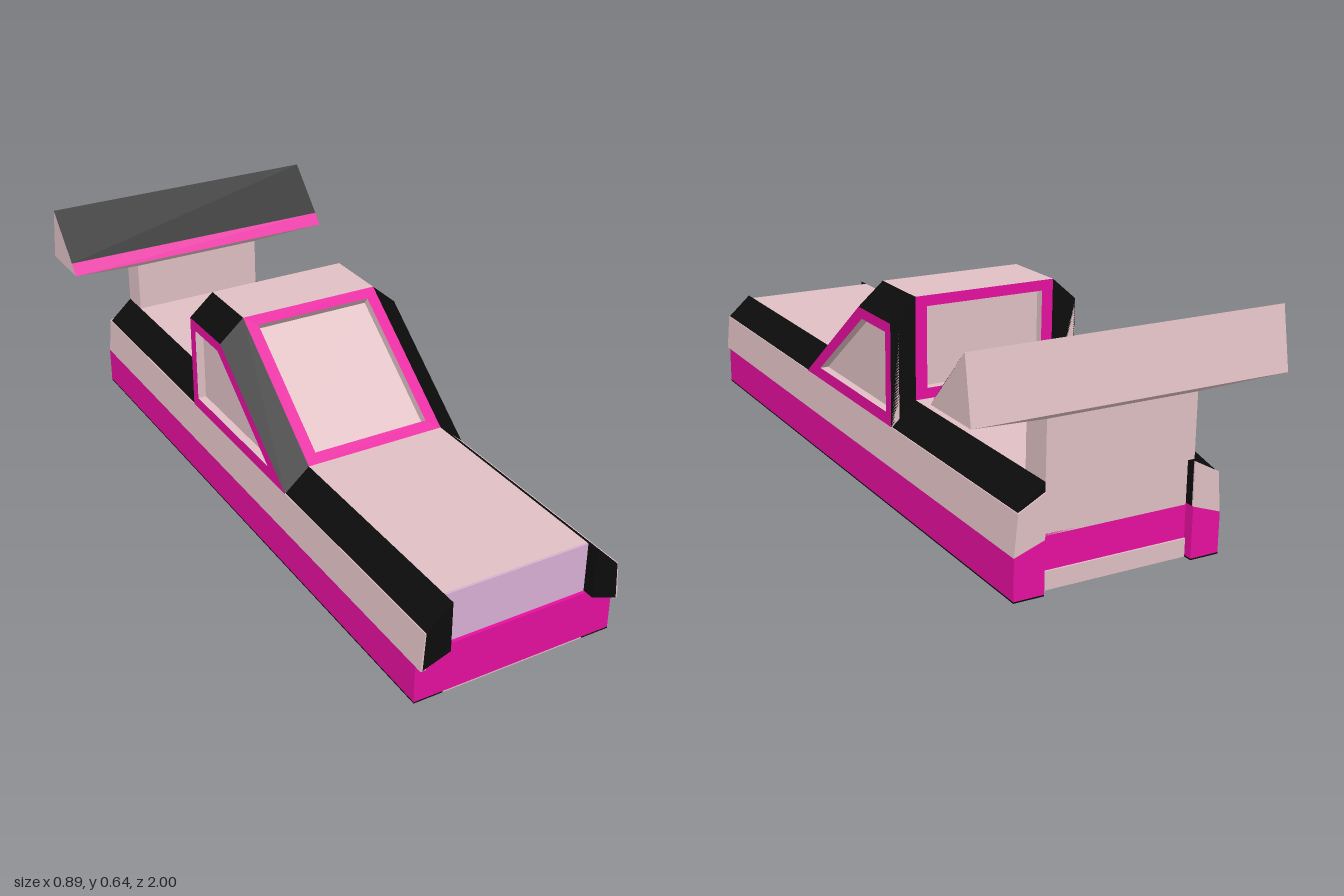
import * as THREE from 'three';

const mat = (color) => new THREE.MeshStandardMaterial({ color, flatShading: true, side: THREE.DoubleSide });

export function createModel() {
  const model = new THREE.Group();
  const pale = mat(0xe0c0c4), pink = mat(0xe6109f), black = mat(0x0c0c0c), lilac = mat(0xdab0d6);

  const add = (name, geometry, material) => {
    const mesh = new THREE.Mesh(geometry, material);
    mesh.name = name;
    model.add(mesh);
    return mesh;
  };
  const shapeOf = (pts) => new THREE.Shape(pts.map((p) => new THREE.Vector2(...p)));
  // box given by its limits
  const box = (name, material, x0, x1, y0, y1, z0, z1) =>
    add(name, new THREE.BoxGeometry(x1 - x0, y1 - y0, z1 - z0), material)
      .position.set((x0 + x1) / 2, (y0 + y1) / 2, (z0 + z1) / 2);
  // cross-section in x,y run along z
  const prism = (name, material, pts, z0, z1) => {
    const g = new THREE.ExtrudeGeometry(shapeOf(pts), { depth: z1 - z0, bevelEnabled: false });
    add(name, g.translate(0, 0, z0), material);
  };
  // flat convex polygon in space
  const panel = (name, material, pts) => {
    const tris = [];
    for (let i = 1; i < pts.length - 1; i++) tris.push(...pts[0], ...pts[i], ...pts[i + 1]);
    const g = new THREE.BufferGeometry();
    g.setAttribute('position', new THREE.Float32BufferAttribute(tris, 3));
    g.computeVertexNormals();
    add(name, g, material);
  };
  // same polygon on either side, winding kept outward
  const sidePanel = (name, material, s, pts) => {
    const q = pts.map(([x, y, z]) => [s * x, y, z]);
    panel(name, material, s > 0 ? q : q.reverse());
  };
  // window frame with a recessed pane; outer face lies on local z = 0
  const depth = 0.025;
  const windowPart = (name, outer, hole, position, rx, ry) => {
    const group = new THREE.Group();
    group.name = name;
    const shape = shapeOf(outer);
    shape.holes.push(new THREE.Path(hole.map((p) => new THREE.Vector2(...p))));
    const frame = new THREE.Mesh(
      new THREE.ExtrudeGeometry(shape, { depth, bevelEnabled: false }).translate(0, 0, -depth), [pink, pale]);
    frame.name = name + 'Frame';
    const pane = new THREE.Mesh(new THREE.ShapeGeometry(shapeOf(hole)).translate(0, 0, -depth), pale);
    pane.name = name + 'Pane';
    group.add(frame, pane);
    group.position.set(...position);
    group.rotation.set(rx, ry, 0);
    model.add(group);
  };
  const rect = (w, y0, y1) => [[-w, y0], [w, y0], [w, y1], [-w, y1]];

  const inX = 0.215, outX = 0.29, hullX = 0.3, deckY = 0.29, drop = 0.065;

  // lower hull and central body
  prism('lowerHull', pink, [[-hullX, 0.004], [hullX, 0.004], [hullX, 0.115], [inX, 0.145],
    [-inX, 0.145], [-hullX, 0.115]], -0.92, 0.975);
  box('body', pale, -inX, inX, 0.14, deckY, -0.92, 0.96);
  box('nosePanel', lilac, -inX, inX, 0.145, deckY - 0.001, 0.955, 0.965);
  box('rearLip', pale, -inX, inX, 0.004, 0.05, -0.925, -0.9);
  box('underside', pale, -inX, inX, 0, 0.004, -0.925, 0.975);

  // side rails, walls and rear corners
  for (const s of [1, -1]) {
    const mirror = (pts) => pts.map(([x, y]) => [s * x, y]);
    prism('rail', black, mirror([[inX, 0.145], [0.294, 0.117], [0.287, deckY - drop], [inX, deckY]]), -0.945, 1);
    prism('sideWall', pale, mirror([[0.285, 0.115], [hullX, 0.115], [outX, deckY - drop], [0.28, deckY - drop]]),
      -0.945, 0.999);
    prism('rearCap', pale, mirror([[inX, 0.145], [hullX, 0.115], [outX, 0.225], [inX, 0.265]]), -0.949, -0.944);
    prism('rearCorner', pink, mirror([[inX, 0.004], [hullX, 0.004], [hullX, 0.115], [inX, 0.145]]), -0.95, -0.92);
    box('undersideStrip', black, Math.min(s * inX, s * hullX), Math.max(s * inX, s * hullX), 0, 0.004, -0.95, 0.975);
  }

  // cabin: chamfered shoulders follow the windscreen and roof line
  const roofY = 0.58, screenZ = 0.3, roofZ = -0.08, backZ = -0.28;
  const line = [[screenZ, deckY], [roofZ, roofY], [backZ, roofY]];
  panel('roof', pale, [[-inX, roofY, roofZ], [inX, roofY, roofZ], [inX, roofY, backZ], [-inX, roofY, backZ]]);
  for (const s of [1, -1]) {
    for (let i = 0; i < 2; i++) {
      const [za, ya] = line[i], [zb, yb] = line[i + 1];
      sidePanel('cabinShoulder', black, s,
        [[inX, ya, za], [outX, ya - drop, za], [outX, yb - drop, zb], [inX, yb, zb]]);
    }
    sidePanel('rearPillar', black, s, [[inX, deckY, backZ], [inX, roofY, backZ],
      [outX, roofY - drop, backZ], [outX, deckY - drop, backZ]]);
    const flip = (pts) => pts.map(([z, y]) => [-s * z, y]);
    windowPart('sideWindow',
      flip([[screenZ, deckY - drop], [roofZ, roofY - drop], [backZ, roofY - drop], [backZ, deckY - drop]]),
      flip([[0.2, 0.26], [-0.1, 0.485], [-0.248, 0.485], [-0.248, 0.26]]),
      [s * outX, 0, 0], 0, s * Math.PI / 2);
  }
  const rise = roofY - deckY, run = screenZ - roofZ;
  windowPart('windscreen', rect(inX, 0, Math.hypot(rise, run)), rect(0.18, 0.033, 0.445),
    [0, deckY, screenZ], -Math.atan2(run, rise), 0);
  windowPart('rearWindow', rect(inX, deckY, roofY), rect(0.18, 0.32, 0.55), [0, 0, backZ], 0, Math.PI);

  // rear wing on its support
  const w = 0.445, front = [0.475, -0.81], mid = [0.508, -0.84], top = [0.643, -0.97], back = [0.475, -1];
  const span = (name, material, a, b) => panel(name, material, [[-w, ...a], [w, ...a], [w, ...b], [-w, ...b]]);
  span('wingLeadingEdge', pink, front, mid);
  span('wingFace', black, mid, top);
  span('wingBack', pale, top, back);
  box('wingSupport', pale, -inX, inX, 0.27, 0.447, -0.945, -0.855);
  const f = [0.445, -0.855], b = [0.445, -0.945];
  panel('wingUnderFront', pale, [[-w, ...front], [-inX, ...f], [inX, ...f], [w, ...front]]);
  panel('wingUnderBack', pale, [[w, ...back], [inX, ...b], [-inX, ...b], [-w, ...back]]);
  for (const s of [1, -1]) {
    sidePanel('wingEnd', pale, s, [[w, ...front], [w, ...back], [w, ...top]]);
    sidePanel('wingUnderEnd', pale, s, [[w, ...front], [inX, ...f], [inX, ...b], [w, ...back]]);
  }
  return model;
}
